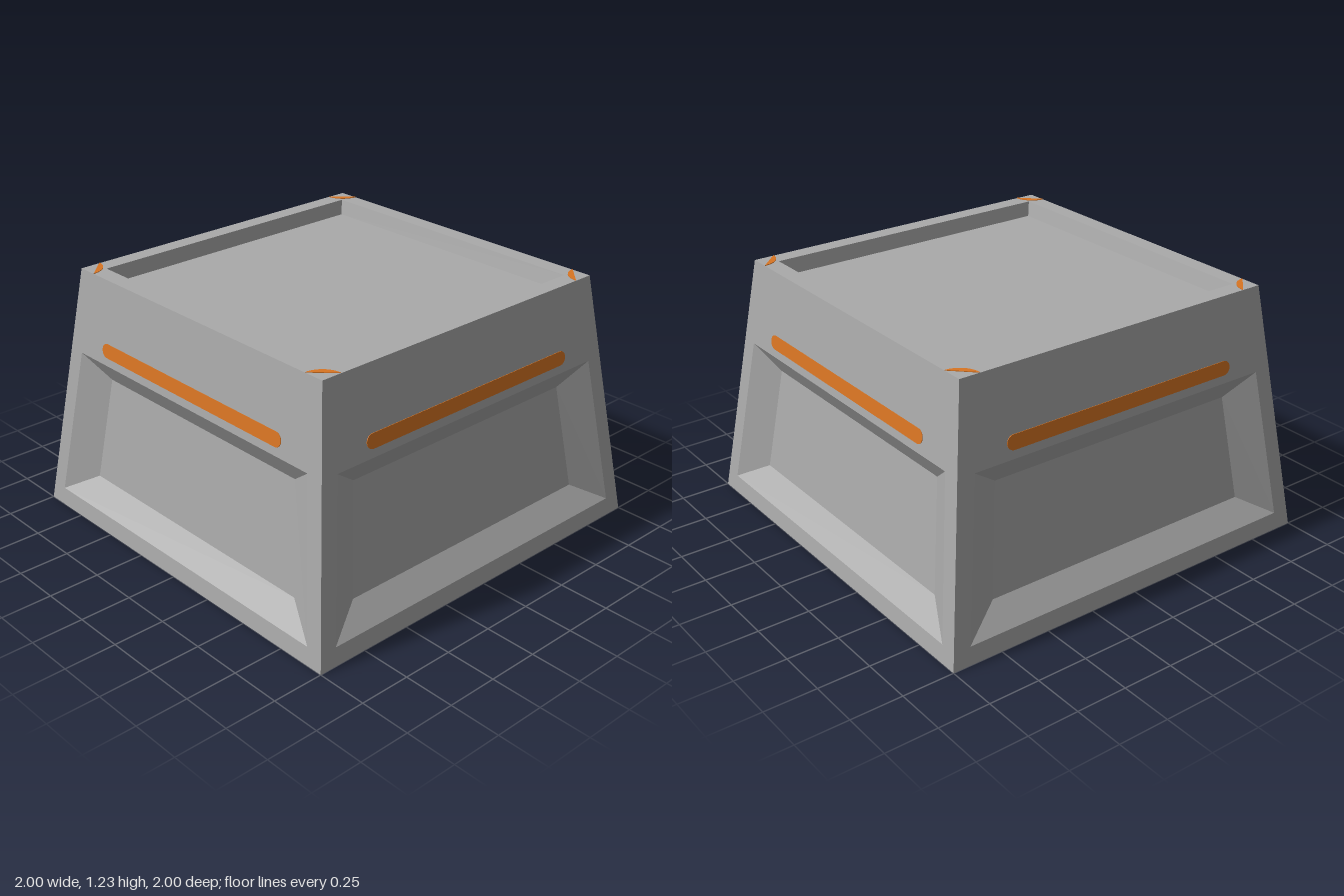
import * as THREE from 'three';

const HEIGHT = 1.23, BASE = 1, TOP = 0.833;
const SLOPE = (BASE - TOP) / HEIGHT;
const half = (y) => BASE - SLOPE * y; // distance of a sloping wall from the axis

// Joins nested four-point loops with quads; optionally closes the last one.
function loopSurface(loops, closed = true) {
  const pos = [];
  const quad = (a, b, c, d) => pos.push(...a, ...b, ...c, ...a, ...c, ...d);
  for (let k = 0; k < loops.length - 1; k++) {
    const o = loops[k], n = loops[k + 1];
    for (let i = 0; i < 4; i++) {
      const j = (i + 1) % 4;
      quad(o[i], o[j], n[j], n[i]);
    }
  }
  if (closed) quad(...loops[loops.length - 1]);
  const g = new THREE.BufferGeometry();
  g.setAttribute('position', new THREE.Float32BufferAttribute(pos, 3));
  g.computeVertexNormals();
  return g;
}

// Trapezoid loop on the front wall, pushed inwards by depth
function wallLoop(bottomX, bottomY, topX, topY, depth = 0) {
  const zb = half(bottomY) - depth, zt = half(topY) - depth;
  return [[-bottomX, bottomY, zb], [bottomX, bottomY, zb], [topX, topY, zt], [-topX, topY, zt]];
}

const squareLoop = (a, y) => [[-a, y, a], [a, y, a], [a, y, -a], [-a, y, -a]];

export function createModel() {
  const grey = new THREE.MeshStandardMaterial({ color: 0xaaaaaa, side: THREE.DoubleSide });
  grey.name = 'grey shell';
  const orange = new THREE.MeshStandardMaterial({ color: 0xd97523, side: THREE.DoubleSide });
  orange.name = 'orange trim';

  const model = new THREE.Group();
  model.name = 'taperedBase';
  const add = (parent, name, geometry, material) => {
    const mesh = new THREE.Mesh(geometry, material);
    mesh.name = name;
    parent.add(mesh);
    return mesh;
  };

  // Sloping wall with a bevelled sunken panel
  const wallGeometry = loopSurface([
    wallLoop(BASE, 0, TOP, HEIGHT),
    wallLoop(0.905, 0.085, 0.803, 0.825),
    wallLoop(0.72, 0.195, 0.655, 0.715, 0.077),
  ]);

  // Painted strip with rounded ends, flush through the thin wall
  const r = 0.034, end = 0.598, thickness = 0.006;
  const stripShape = new THREE.Shape();
  stripShape.absarc(end, 0, r, -Math.PI / 2, Math.PI / 2);
  stripShape.absarc(-end, 0, r, Math.PI / 2, Math.PI * 1.5);
  const plate = (shape) => new THREE.ExtrudeGeometry(shape, {
    depth: thickness, bevelEnabled: false, curveSegments: 8,
  }).translate(0, 0, -thickness / 2);
  const stripY = 0.898;
  const stripGeometry = plate(stripShape)
    .rotateX(-Math.atan(SLOPE))
    .translate(0, stripY, half(stripY));

  // Quarter-round painted corner of the top rim
  const cornerShape = new THREE.Shape();
  cornerShape.moveTo(0, 0);
  cornerShape.absarc(0, 0, 0.1, Math.PI / 2, Math.PI);
  cornerShape.closePath();
  const cornerGeometry = plate(cornerShape)
    .rotateX(-Math.PI / 2)
    .translate(TOP, HEIGHT, -TOP);
  // the quarter opens towards -x and -z, so bring it to the +z corner
  cornerGeometry.translate(0, 0, 2 * TOP);

  ['front', 'left', 'back', 'right'].forEach((side, i) => {
    const group = new THREE.Group();
    group.name = side + 'Side';
    group.rotation.y = i * Math.PI / 2;
    add(group, side + 'Wall', wallGeometry, grey);
    add(group, side + 'Strip', stripGeometry, orange);
    add(group, side + 'TopCorner', cornerGeometry, orange);
    model.add(group);
  });

  // Top rim with a shallow square tray
  add(model, 'topTray', loopSurface([
    squareLoop(TOP, HEIGHT),
    squareLoop(0.75, HEIGHT),
    squareLoop(0.733, HEIGHT - 0.072),
  ]), grey);

  return model;
}
